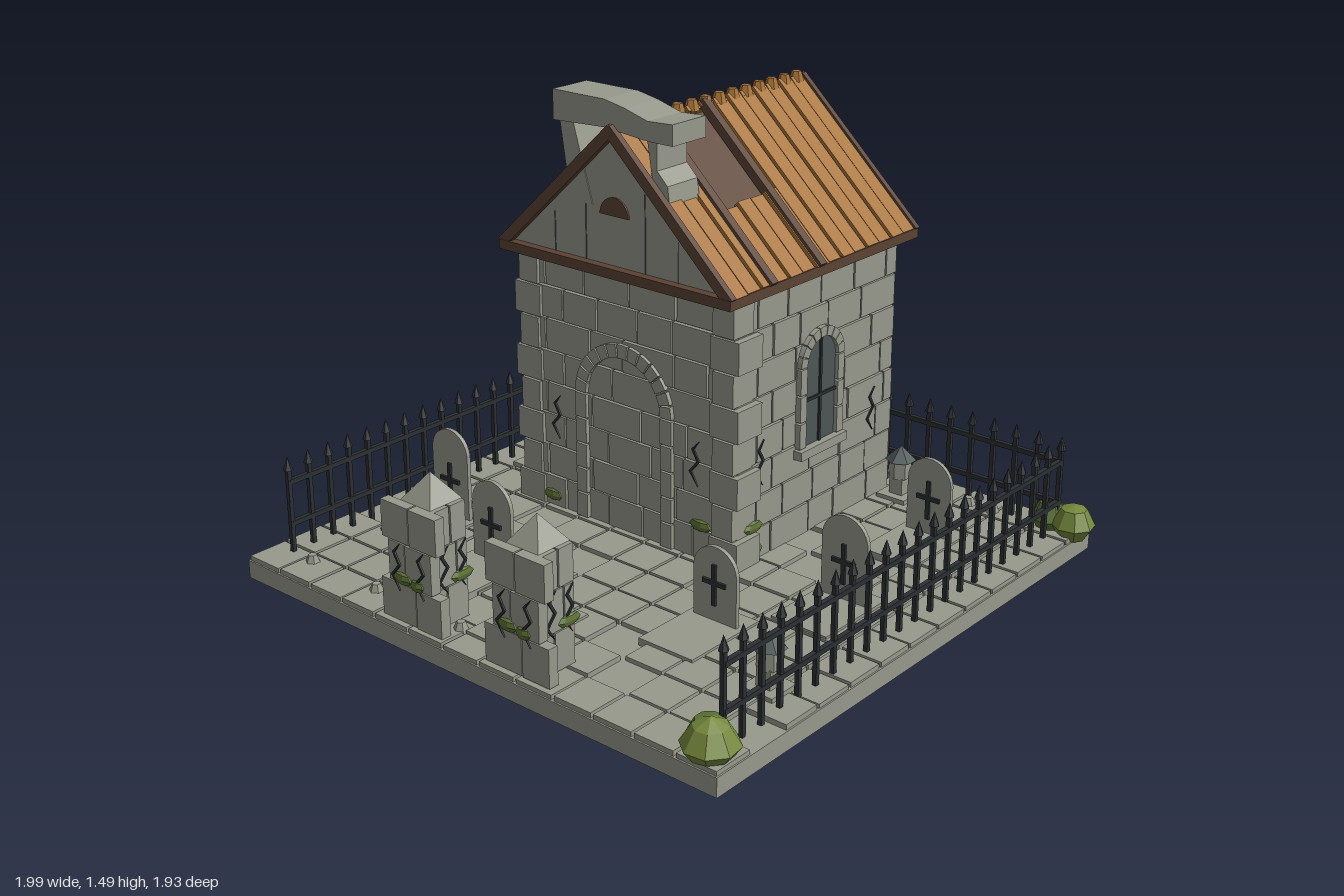
import * as THREE from 'three';

const mat = (name, color) => Object.assign(new THREE.MeshStandardMaterial({ color, flatShading: true }), { name });
const M = {
  stone: mat('stone', 0x97998c),
  slate: mat('dark slate', 0x4c5556),
  wood: mat('roof wood', 0xa87439),
  trim: mat('brown trim', 0x5c4334),
  iron: mat('iron', 0x2b2f33),
  moss: mat('moss green', 0x5d7234),
  leaf: mat('leaf green', 0x75883c),
};

export function createModel() {
  const root = new THREE.Group();
  const group = (name, parent = root) => {
    const g = new THREE.Group();
    g.name = name;
    parent.add(g);
    return g;
  };
  const add = (p, name, geo, m, x = 0, y = 0, z = 0) => {
    const o = new THREE.Mesh(geo, m);
    o.name = name;
    o.position.set(x, y, z);
    p.add(o);
    return o;
  };
  // Box given by its min and max corners
  const box = (p, name, m, x0, x1, y0, y1, z0, z1) =>
    add(p, name, new THREE.BoxGeometry(x1 - x0, y1 - y0, z1 - z0), m, (x0 + x1) / 2, (y0 + y1) / 2, (z0 + z1) / 2);
  const extrude = (shape, depth) => new THREE.ExtrudeGeometry(shape, { depth, bevelEnabled: false, curveSegments: 10 });
  const poly = (pts) => new THREE.Shape(pts.map(([x, y]) => new THREE.Vector2(x, y)));
  const arched = (w, y0, yTop) => {
    const s = new THREE.Shape();
    s.moveTo(-w / 2, y0);
    s.lineTo(w / 2, y0);
    s.absarc(0, yTop - w / 2, w / 2, 0, Math.PI, false);
    return s;
  };
  let seed = 7;
  const rnd = () => (seed = (seed * 16807) % 2147483647) / 2147483647;

  // Stone arch with straight jambs, in local x and y
  const stoneArch = (p, r0, r1, cy, yBase, n, depth) => {
    for (let i = 0; i < n; i++) {
      const a0 = (i / n) * Math.PI + 0.015, a1 = ((i + 1) / n) * Math.PI - 0.015;
      const s = new THREE.Shape();
      s.absarc(0, cy, r1, a0, a1, false);
      s.absarc(0, cy, r0, a1, a0, true);
      add(p, 'archStone', extrude(s, depth), M.stone);
    }
    const k = Math.round((cy - yBase) / 0.08), h = (cy - yBase) / k;
    for (let i = 0; i < k; i++)
      for (const s of [-1, 1])
        box(p, 'jambStone', M.stone, Math.min(s * r0, s * r1), Math.max(s * r0, s * r1), yBase + i * h + 0.003, yBase + (i + 1) * h - 0.003, 0, depth);
  };
  const crack = (p, x, y, z, h = 0.15) => {
    const path = [[0, 0], [0.03, 0.2], [0.008, 0.45], [0.04, 0.7], [0.005, 1]].map(([a, b]) => [-a, -b * h]);
    const back = path.slice(1, -1).reverse().map(([a, b]) => [a + 0.01, b]);
    add(p, 'crack', extrude(poly([...path, ...back]), 0.005), M.iron, x + 0.015, y, z);
  };
  const moss = (p, x, y, z, w = 0.045) => {
    const o = add(p, 'moss', new THREE.SphereGeometry(1, 7, 4), M.moss, x, y, z);
    o.scale.set(w, 0.02, 0.012);
  };
  // Running-bond courses between x0 and x1, facing local +z
  const courses = (p, x0, x1, y0, y1, rows, len, depth) => {
    const h = (y1 - y0) / rows;
    for (let r = 0; r < rows; r++) {
      let x = x0, w = r % 2 ? len * 0.55 : len;
      while (x < x1 - 0.01) {
        let e = Math.min(x + w, x1);
        if (x1 - e < 0.04) e = x1;
        box(p, 'wallBlock', M.stone, x + 0.003, e - 0.003, y0 + r * h + 0.003, y0 + (r + 1) * h - 0.003, 0, depth - rnd() * 0.004);
        x = e;
        w = len * (0.75 + rnd() * 0.5);
      }
    }
  };

  // Paved base
  const base = group('base');
  box(base, 'slab', M.stone, -0.945, 0.94, 0, 0.06, -0.945, 0.94);
  const t = 0.145;
  for (let i = 0; i < 13; i++)
    for (let j = 0; j < 13; j++) {
      if (rnd() < 0.08) continue;
      const x = -0.945 + i * t, z = -0.945 + j * t, top = 0.073 + rnd() * 0.004;
      box(base, 'paver', M.stone, x + 0.005, x + t - 0.005, 0.05, top, z + 0.005, z + t - 0.005);
    }

  // Chapel walls
  const walls = group('walls');
  box(walls, 'core', M.slate, -0.6, 0.25, 0.06, 0.94, -0.78, 0.03);
  const front = group('frontWall', walls);
  front.position.z = 0.03;
  courses(front, -0.6, 0.27, 0.07, 0.94, 8, 0.17, 0.016);
  const side = group('sideWall', walls);
  side.rotation.y = Math.PI / 2;
  side.position.x = 0.25;
  courses(side, -0.03, 0.78, 0.07, 0.94, 8, 0.17, 0.02);
  for (let r = 0; r < 8; r++) {
    const y = 0.065 + r * 0.109, w = r % 2 ? 0.08 : 0.11, o = r % 2 ? 0 : 0.02;
    box(walls, 'quoin', M.stone, -0.61 - o, -0.61 - o + w, y + 0.003, y + 0.106, -0.04, 0.055);
    box(walls, 'quoin', M.stone, 0.27 + o - w, 0.27 + o, y + 0.003, y + 0.106, -0.04 - o, 0.055);
  }
  // Blocked doorway and arched window
  const door = group('doorArch', walls);
  door.position.set(-0.17, 0, 0.04);
  stoneArch(door, 0.155, 0.2, 0.51, 0.075, 13, 0.018);
  const win = group('window', walls);
  win.rotation.y = Math.PI / 2;
  win.position.set(0.265, 0, -0.37);
  stoneArch(win, 0.08, 0.112, 0.65, 0.38, 9, 0.022);
  add(win, 'glass', extrude(arched(0.16, 0.38, 0.73), 0.009), M.slate);
  box(win, 'mullion', M.iron, -0.005, 0.005, 0.38, 0.73, 0.009, 0.015);
  box(win, 'glazingBar', M.iron, -0.08, 0.08, 0.53, 0.54, 0.009, 0.015);
  box(win, 'sill', M.stone, -0.12, 0.12, 0.35, 0.38, 0, 0.035);
  // Cracks and moss on the walls
  crack(front, -0.46, 0.47, 0.016);
  crack(front, 0.12, 0.47, 0.016);
  crack(side, 0.08, 0.47, 0.02);
  crack(side, 0.66, 0.47, 0.02);
  moss(front, -0.49, 0.11, 0.016);
  moss(front, 0.14, 0.19, 0.016);
  moss(side, 0.05, 0.19, 0.02);
  moss(side, 0.06, 0.11, 0.02, 0.035);

  // Roof
  const roof = group('roof'), AX = -0.17, AY = 1.41;
  const len = Math.hypot(0.47, 0.44), ang = Math.atan2(0.44, 0.47);
  const onSlope = (name, m, s, d0, d1, z0, z1, thick, top) => {
    const d = (d0 + d1) / 2, off = top - thick / 2;
    const o = add(roof, name, new THREE.BoxGeometry(d1 - d0, thick, z1 - z0), m,
      AX + s * (d * Math.cos(ang) + off * Math.sin(ang)), AY - d * Math.sin(ang) + off * Math.cos(ang), (z0 + z1) / 2);
    o.rotation.z = -s * ang;
  };
  box(roof, 'eavesFrame', M.trim, -0.64, 0.3, 0.94, 0.972, -0.85, 0.11);
  const tri = poly([[-0.61, 0.97], [0.27, 0.97], [AX, 1.375]]);
  add(roof, 'roofCore', extrude(tri, 0.86), M.trim, 0, 0, -0.81);
  add(roof, 'frontGable', extrude(tri, 0.025), M.stone, 0, 0, 0.055);
  add(roof, 'backGable', extrude(tri, 0.03), M.stone, 0, 0, -0.842);
  for (const [x, top] of [[-0.42, 1.1], [-0.29, 1.22], [-0.05, 1.22], [0.08, 1.1]])
    box(roof, 'gableSeam', M.slate, x - 0.002, x + 0.002, 0.972, top, 0.08, 0.082);
  const vent = new THREE.Shape();
  vent.absarc(0, 0, 0.058, 0, Math.PI, false);
  add(roof, 'gableVent', extrude(vent, 0.006), M.trim, AX, 1.13, 0.08);
  for (const s of [-1, 1]) {
    for (let i = 0; i < 14; i++) {
      const z = 0.09 - i * 0.0662;
      const open = s > 0 && z < -0.07 && z > -0.32;
      onSlope('roofBoard', M.wood, s, open ? 0.35 + rnd() * 0.02 : 0, len - rnd() * 0.006, z - 0.061, z - 0.003, 0.02, i % 2 ? -0.002 : 0.003);
    }
    onSlope('frontVerge', M.trim, s, 0, len, 0.085, 0.108, 0.035, 0.006);
    onSlope('backVerge', M.trim, s, 0, len, -0.852, -0.832, 0.035, 0.006);
  }
  for (const z of [-0.09, -0.33]) onSlope('exposedRafter', M.trim, 1, 0, len, z - 0.015, z + 0.015, 0.03, 0.014);
  for (let i = 0; i < 12; i++)
    add(roof, 'ridgeCap', new THREE.CylinderGeometry(0.016, 0.026, 0.035, 6), M.wood, AX, 1.407, -0.075 - i * 0.0665);

  // Broken bellcote straddling the ridge
  const bell = group('bellcote');
  const lintel = poly([[-0.41, 1.39], [-0.2, 1.4], [-0.03, 1.385], [0.065, 1.385], [0.065, 1.45], [-0.03, 1.445], [-0.12, 1.47], [-0.2, 1.485], [-0.41, 1.485]]);
  add(bell, 'lintel', extrude(lintel, 0.15), M.stone, 0, 0, -0.06);
  add(bell, 'leftPost', extrude(poly([[-0.35, 1.15], [-0.26, 1.15], [-0.335, 1.4], [-0.39, 1.4]]), 0.135), M.stone, 0, 0, -0.052);
  add(bell, 'rightPost', extrude(poly([[0.0, 1.15], [0.055, 1.15], [0.04, 1.26], [0.0, 1.3], [0.0, 1.4], [-0.04, 1.4]]), 0.135), M.stone, 0, 0, -0.052);

  // Iron fence on three sides
  const fenceRun = (name, x, z, ry, length, n) => {
    const f = group(name);
    f.position.set(x, 0, z);
    f.rotation.y = ry;
    for (const y of [0.17, 0.31]) box(f, 'rail', M.iron, 0, length, y - 0.008, y + 0.008, -0.008, 0.008);
    for (let i = 0; i <= n; i++) {
      const px = (i * length) / n;
      box(f, 'picket', M.iron, px - 0.007, px + 0.007, 0.06, 0.36, -0.007, 0.007);
      add(f, 'spearTip', new THREE.ConeGeometry(0.016, 0.045, 6), M.iron, px, 0.373, 0);
    }
  };
  fenceRun('leftFence', 0.865, 0.825, Math.PI / 2, 1.685, 21);
  fenceRun('rightFence', -0.865, 0.825, Math.PI / 2, 1.685, 21);
  fenceRun('backFence', -0.865, -0.86, 0, 1.73, 21);

  // Gate pillars
  for (const x of [-0.215, 0.21]) {
    const p = group('gatePillar');
    p.position.set(x, 0, 0.825);
    box(p, 'core', M.slate, -0.058, 0.058, 0.06, 0.45, -0.06, 0.06);
    const cap = add(p, 'cap', new THREE.ConeGeometry(0.088, 0.085, 4), M.stone, 0, 0.492, 0);
    cap.rotation.y = Math.PI / 4;
    [[0.075, 0.2, 0.125, 0.02], [0.2, 0.33, 0.09, -0.02], [0.33, 0.45, 0.115, 0]].forEach(([y0, y1, w, seam]) => {
      box(p, 'faceBlock', M.stone, -w, seam - 0.003, y0 + 0.002, y1 - 0.002, 0.06, 0.092);
      box(p, 'faceBlock', M.stone, seam + 0.003, w, y0 + 0.002, y1 - 0.002, 0.06, 0.095);
      box(p, 'sideBlock', M.stone, 0.058, 0.075, y0 + 0.002, y1 - 0.002, -0.06, seam - 0.003);
      box(p, 'sideBlock', M.stone, 0.058, 0.075, y0 + 0.002, y1 - 0.002, seam + 0.003, 0.06);
    });
    crack(p, -0.05, 0.33, 0.096, 0.15);
    crack(p, 0.05, 0.33, 0.096, 0.15);
    moss(p, -0.03, 0.22, 0.095, 0.04);
    moss(p, 0.03, 0.215, 0.095, 0.03);
    const s = group('pillarSide', p);
    s.rotation.y = Math.PI / 2;
    s.position.x = 0.075;
    crack(s, -0.03, 0.33, 0);
    crack(s, 0.04, 0.33, 0);
    moss(s, 0.04, 0.22, 0);
  }

  // Graves: flat slab, arched headstone and iron cross
  for (const [x, z, w, top] of [[-0.67, 0.335, 0.16, 0.38], [-0.33, 0.485, 0.165, 0.35], [0.03, 0.63, 0.165, 0.355],
    [0.435, 0.34, 0.16, 0.32], [0.64, -0.01, 0.165, 0.355], [0.58, -0.545, 0.16, 0.34]]) {
    const g = group('grave');
    g.position.set(x, 0, z);
    box(g, 'graveSlab', M.stone, -0.1, 0.1, 0.06, 0.084, -0.085, 0.215);
    add(g, 'headstone', extrude(arched(w, 0.07, top), 0.014), M.stone, 0, 0, -0.018);
    box(g, 'crossUpright', M.iron, -0.007, 0.007, 0.135, 0.265, -0.004, 0.004);
    box(g, 'crossArm', M.iron, -0.042, 0.042, 0.2, 0.214, -0.004, 0.004);
  }

  // Stone lanterns
  for (const [x, z] of [[-0.755, -0.145], [0.34, -0.745], [0.785, 0.53]]) {
    const l = group('lantern');
    l.position.set(x, 0, z);
    box(l, 'foot', M.stone, -0.055, 0.055, 0.06, 0.09, -0.055, 0.055);
    box(l, 'stem', M.stone, -0.025, 0.025, 0.09, 0.15, -0.025, 0.025);
    add(l, 'lampBody', new THREE.CylinderGeometry(0.036, 0.036, 0.065, 6), M.stone, 0, 0.178, 0);
    add(l, 'lampRoof', new THREE.ConeGeometry(0.052, 0.05, 6), M.slate, 0, 0.232, 0);
  }

  // Faceted corner bushes
  for (const [x, z, r, m] of [[-0.915, -0.835, 0.085, M.moss], [-0.86, -0.905, 0.07, M.moss], [0.92, -0.87, 0.07, M.leaf],
    [0.835, -0.87, 0.06, M.moss], [0.87, 0.88, 0.085, M.leaf], [0.85, 0.86, 0.07, M.moss]]) {
    const prof = [[0, 0.06], [r * 0.6, 0.06], [r, 0.105], [r * 0.6, 0.16], [0, 0.1 + r]].map(([a, b]) => new THREE.Vector2(a, b));
    add(root, 'bush', new THREE.LatheGeometry(prof, 8), m, x, 0, z).rotation.y = x * 5 + z;
  }

  // Loose pebbles
  for (const [x, z] of [[-0.76, 0.835], [-0.465, 0.835], [-0.1, 0.835], [0.78, 0.835], [-0.7, -0.84], [0.55, -0.84], [0.64, -0.84]])
    add(root, 'pebble', new THREE.CylinderGeometry(0.014, 0.026, 0.03, 6), M.stone, x, 0.085, z);

  return root;
}
